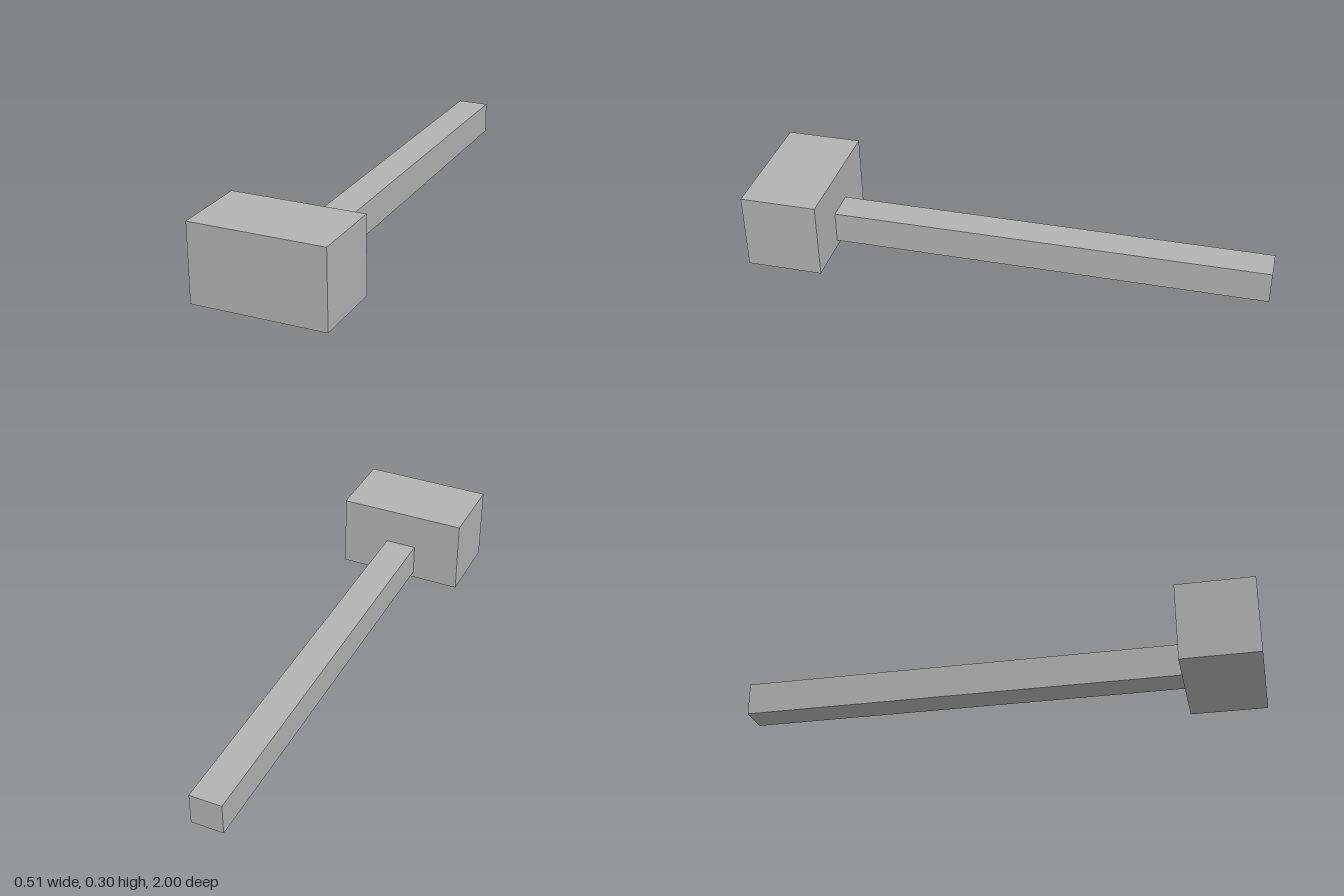
import * as THREE from 'three';

export function createModel() {
  const model = new THREE.Group();
  model.name = 'mallet';
  const grey = new THREE.MeshStandardMaterial({ color: 0xb2b2b2 });
  grey.name = 'grey';

  // Adds a box spanning the given heights and depths, centred on x = 0
  const addBox = (name, width, [y0, y1], [z0, z1]) => {
    const mesh = new THREE.Mesh(new THREE.BoxGeometry(width, y1 - y0, z1 - z0), grey);
    mesh.position.set(0, (y0 + y1) / 2, (z0 + z1) / 2);
    mesh.name = name;
    model.add(mesh);
  };

  // Block head at the front, square handle running back from it
  addBox('head', 0.512, [0, 0.3], [0.704, 1]);
  addBox('handle', 0.126, [0.025, 0.151], [-1, 0.704]);

  return model;
}
